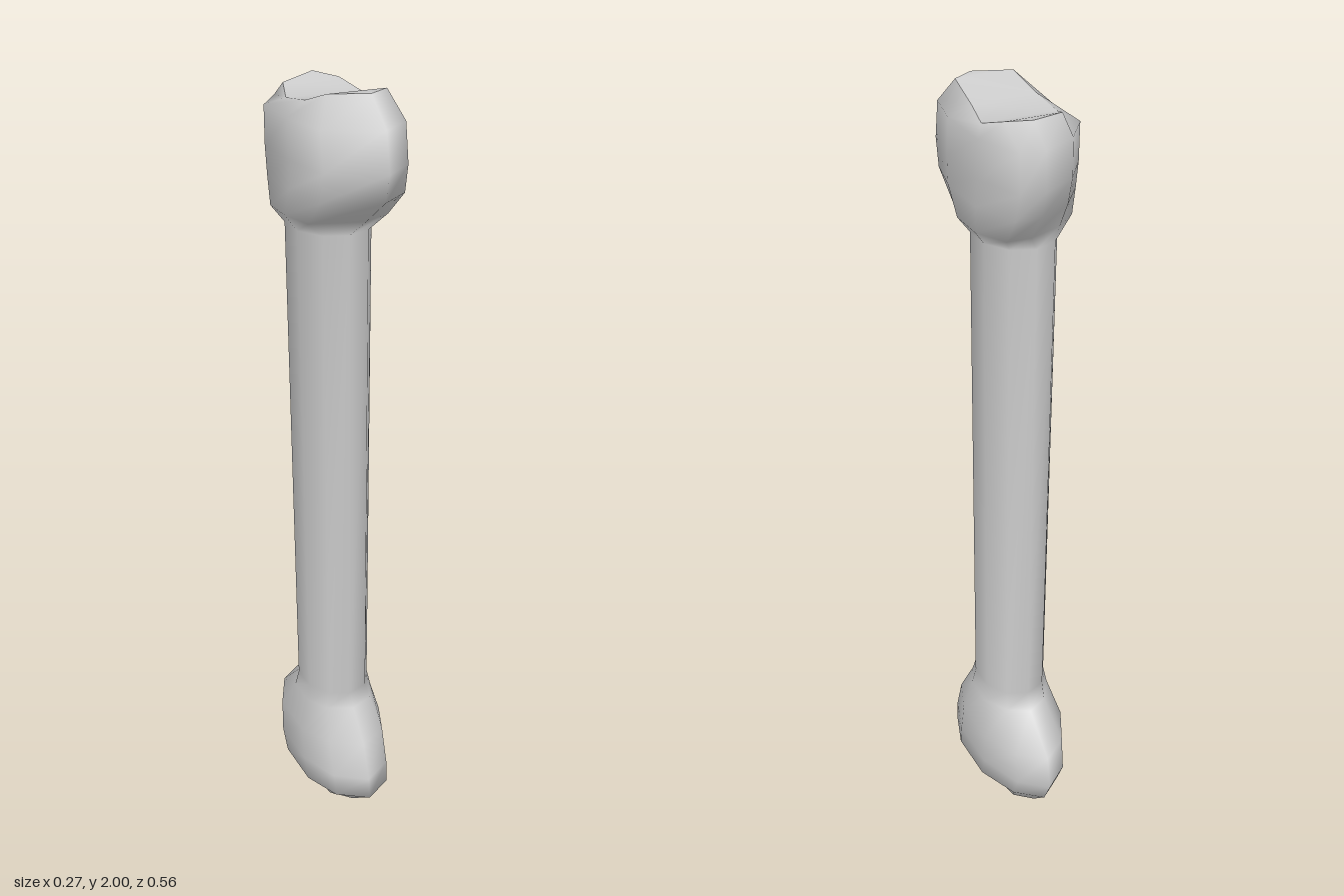
import * as THREE from 'three';

const SIDES = 10;

// Unit outlines, running back -> left (+x) -> front -> right (-x), as [x, z]
const ROUND = Array.from({ length: SIDES }, (_, i) => {
  const a = (i / SIDES) * Math.PI * 2;
  return [Math.sin(a) / Math.sin(Math.PI * 0.4), -Math.cos(a)];
});
const UPPER = [[0.2, -1], [0.67, -0.97], [1, -0.44], [1, 0.24], [0.8, 0.74],
  [0.2, 1], [-0.83, 0.74], [-1, 0.16], [-1, -0.42], [-0.52, -0.78]];
const LOWER = [[0.03, -1], [0.62, -0.76], [1, -0.28], [1, 0.35], [0.7, 0.78],
  [0.03, 1], [-0.65, 0.78], [-1, 0.35], [-1, -0.28], [-0.57, -0.76]];

// Fit an outline into the given extents; height may be a list, one per point
function ring(outline, y, x0, x1, z0, z1) {
  return outline.map(([u, v], i) => new THREE.Vector3(
    (x0 + x1) / 2 + (u * (x1 - x0)) / 2,
    Array.isArray(y) ? y[i] : y,
    (z0 + z1) / 2 + (v * (z1 - z0)) / 2));
}

function smoothMesh(name, points, index, material) {
  const geometry = new THREE.BufferGeometry().setFromPoints(points);
  geometry.setIndex(index);
  geometry.computeVertexNormals();
  const mesh = new THREE.Mesh(geometry, material);
  mesh.name = name;
  return mesh;
}

// Skin a stack of rings, listed from bottom to top
function loft(name, rings, material) {
  const index = [];
  for (let r = 0; r < rings.length - 1; r++) {
    for (let i = 0; i < SIDES; i++) {
      const a = r * SIDES + i;
      const b = r * SIDES + ((i + 1) % SIDES);
      index.push(a, a + SIDES, b, b, a + SIDES, b + SIDES);
    }
  }
  return smoothMesh(name, rings.flat(), index, material);
}

// Close a ring with strips across its width, giving a saddle-shaped joint face
function saddle(name, points, facesUp, material) {
  const index = [];
  const tri = (a, b, c) => index.push(...(facesUp ? [a, c, b] : [a, b, c]));
  tri(0, 1, 9);
  for (let i = 1; i < 4; i++) {
    const j = SIDES - i;
    tri(i, i + 1, j);
    tri(i + 1, j - 1, j);
  }
  tri(4, 5, 6);
  return smoothMesh(name, points, index, material);
}

export function createModel() {
  const material = new THREE.MeshStandardMaterial({ color: 0xcccccc });
  const group = new THREE.Group();
  group.name = 'bone';

  // Joint faces: high at front and back, dipping in the middle
  const topXZ = [[0.02, -0.15], [0.07, -0.105], [0.095, -0.04], [0.075, 0.055], [0.075, 0.145],
    [0.02, 0.18], [-0.075, 0.145], [-0.09, 0.06], [-0.095, -0.04], [-0.075, -0.105]];
  const topY = [1.985, 1.975, 1.955, 1.965, 2, 2, 2, 1.97, 1.955, 1.975];
  const topRing = topXZ.map(([x, z], i) => new THREE.Vector3(x, topY[i], z));
  const bottomRing = ring(LOWER,
    [0.015, 0.02, 0.05, 0.055, 0.015, 0, 0.015, 0.055, 0.05, 0.02],
    -0.06, 0.095, -0.18, 0.1);

  const rings = [
    bottomRing,
    // Lower knuckle
    ring(LOWER, 0.08, -0.095, 0.133, -0.25, 0.213),
    ring(LOWER, 0.14, -0.1, 0.135, -0.28, 0.21),
    ring(LOWER, 0.23, -0.1, 0.135, -0.265, 0.175),
    ring(LOWER, 0.315, -0.08, 0.11, -0.155, 0.115),
    // Shaft
    ring(ROUND, 0.36, -0.073, 0.1, -0.13, 0.105),
    ring(ROUND, 1.66, -0.106, 0.088, -0.115, 0.13),
    // Upper knuckle
    ring(UPPER, 1.7, -0.135, 0.118, -0.135, 0.165),
    ring(UPPER, 1.77, -0.137, 0.123, -0.19, 0.26),
    ring(UPPER, 1.84, -0.137, 0.123, -0.215, 0.28),
    ring(UPPER, 1.935, -0.137, 0.123, -0.212, 0.262),
    topRing,
  ];

  group.add(
    loft('boneBody', rings, material),
    saddle('upperJointFace', topRing, true, material),
    saddle('lowerJointFace', bottomRing, false, material),
  );
  return group;
}
